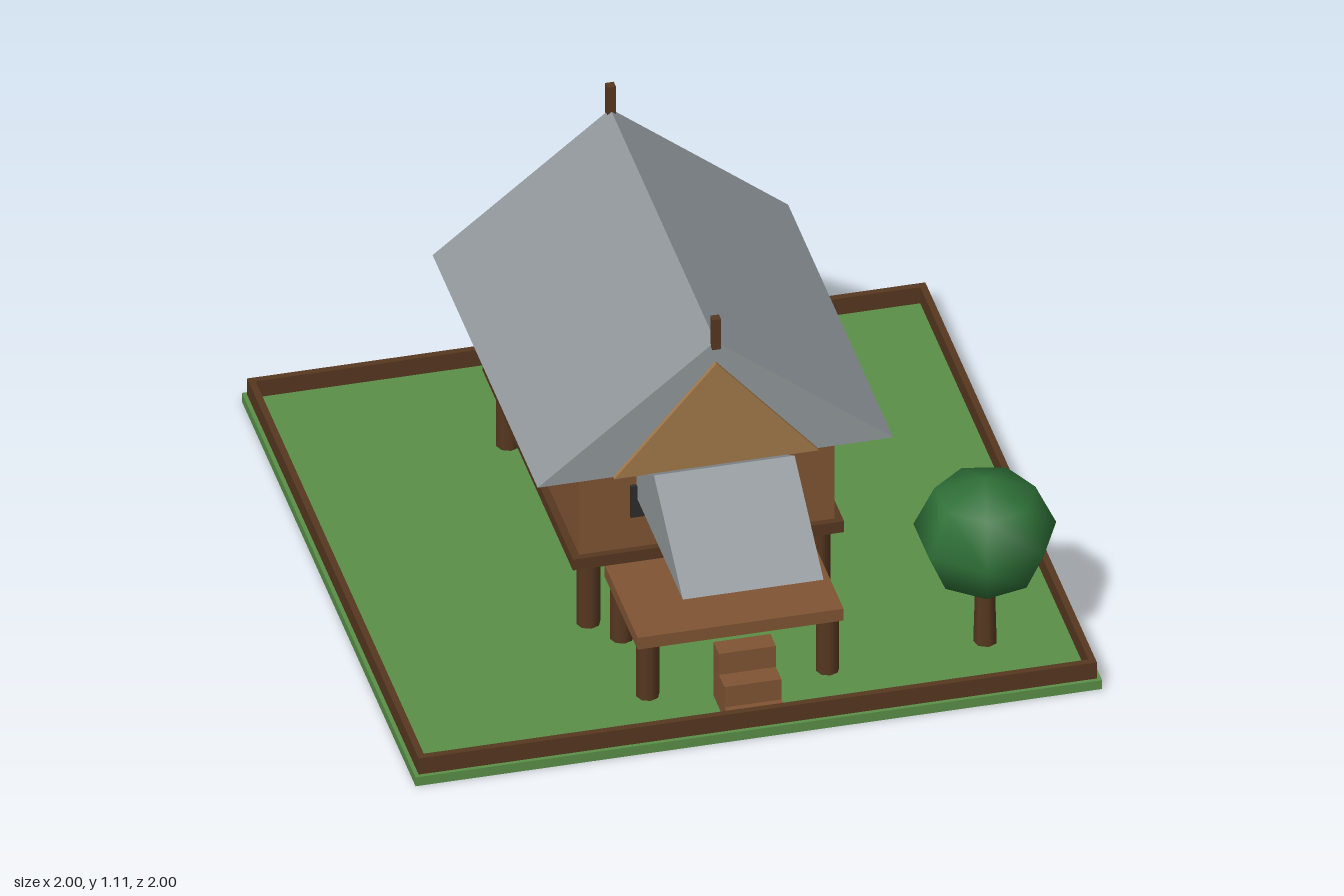
import * as THREE from 'three';

const mat = (name, color) => {
  const m = new THREE.MeshStandardMaterial({ color });
  m.name = name;
  return m;
};

export function createModel() {
  const model = new THREE.Group();
  model.name = 'stiltHouse';

  const grass = mat('grass green', 0x5a8f47);
  const darkWood = mat('dark wood', 0x573820);
  const wood = mat('brown wood', 0x805433);
  const gableWood = mat('light wood', 0xa2784a);
  const slate = mat('roof grey', 0x91989c);
  const glass = mat('window black', 0x2c2c2c);
  const leaf = mat('leaf green', 0x2f7038);

  const add = (name, geometry, material, x = 0, y = 0, z = 0) => {
    const mesh = new THREE.Mesh(geometry, material);
    mesh.name = name;
    mesh.position.set(x, y, z);
    model.add(mesh);
    return mesh;
  };

  // Box given by its limits on each axis
  const box = (name, material, [x0, x1], [y0, y1], [z0, z1]) =>
    add(name, new THREE.BoxGeometry(x1 - x0, y1 - y0, z1 - z0), material,
      (x0 + x1) / 2, (y0 + y1) / 2, (z0 + z1) / 2);

  // Solid triangular prism with its ridge along z, centred on its length
  const prism = (halfWidth, height, length) => {
    const s = new THREE.Shape();
    s.moveTo(-halfWidth, 0);
    s.lineTo(halfWidth, 0);
    s.lineTo(0, height);
    s.closePath();
    return new THREE.ExtrudeGeometry(s, { depth: length, bevelEnabled: false })
      .translate(0, 0, -length / 2);
  };

  const post = (name, x, z, top, radius) =>
    add(name, new THREE.CylinderGeometry(radius, radius, top - 0.02, 8), darkWood,
      x, (top + 0.02) / 2, z);

  // Lawn and low border
  box('lawn', grass, [-1, 1], [0, 0.03], [-1, 1]);
  for (const s of [-1, 1]) {
    const span = [Math.min(s * 0.968, s * 0.988), Math.max(s * 0.968, s * 0.988)];
    box('borderSide', darkWood, span, [0.03, 0.085], [-0.988, 0.988]);
    box('borderEnd', darkWood, [-0.968, 0.968], [0.03, 0.085], span);
  }

  // House on stilts
  for (const x of [-0.335, 0, 0.335])
    for (const z of [-0.565, 0.36]) post('houseStilt', x, z, 0.26, 0.035);
  box('houseFloor', darkWood, [-0.395, 0.395], [0.255, 0.292], [-0.62, 0.42]);
  box('walls', wood, [-0.372, 0.372], [0.292, 0.612], [-0.6, 0.4]);

  // Windows
  for (const s of [-1, 1])
    box('sideWindow', glass, [s * 0.378 - 0.008, s * 0.378 + 0.008], [0.4, 0.505], [-0.35, 0.15]);
  box('frontWindow', glass, [-0.224, 0.224], [0.4, 0.505], [0.395, 0.411]);

  // Main roof, gable panels and ridge posts
  add('mainRoof', prism(0.518, 0.413, 1.21), slate, 0, 0.61, -0.105);
  for (const z of [0.506, -0.716])
    add('gablePanel', prism(0.298, 0.345, 0.014), gableWood, 0, 0.611, z);
  for (const z of [0.503, -0.707])
    box('ridgePost', darkWood, [-0.0125, 0.0125], [1.005, 1.107], [z - 0.0125, z + 0.0125]);

  // Porch
  box('porchDeck', wood, [-0.3, 0.3], [0.212, 0.252], [0.41, 0.79]);
  for (const x of [-0.262, 0.262])
    for (const z of [0.457, 0.755]) post('porchStilt', x, z, 0.215, 0.034);
  add('porchRoof', prism(0.333, 0.205, 0.41), slate, 0, 0.462, 0.602).rotation.y = Math.PI / 2;

  // Stairs
  [[0.212, 0.805, 0.868], [0.141, 0.868, 0.932], [0.072, 0.932, 0.98]].forEach(([top, z0, z1]) =>
    box('stairStep', wood, [-0.083, 0.083], [0.03, top], [z0, z1]));

  // Tree
  add('treeTrunk', new THREE.CylinderGeometry(0.028, 0.035, 0.25, 7), darkWood, 0.73, 0.145, 0.725);
  const crown = add('treeCrown', new THREE.SphereGeometry(0.207, 7, 4), leaf, 0.729, 0.4, 0.725);
  crown.scale.y = 0.89;
  crown.rotation.y = Math.PI;

  return model;
}
